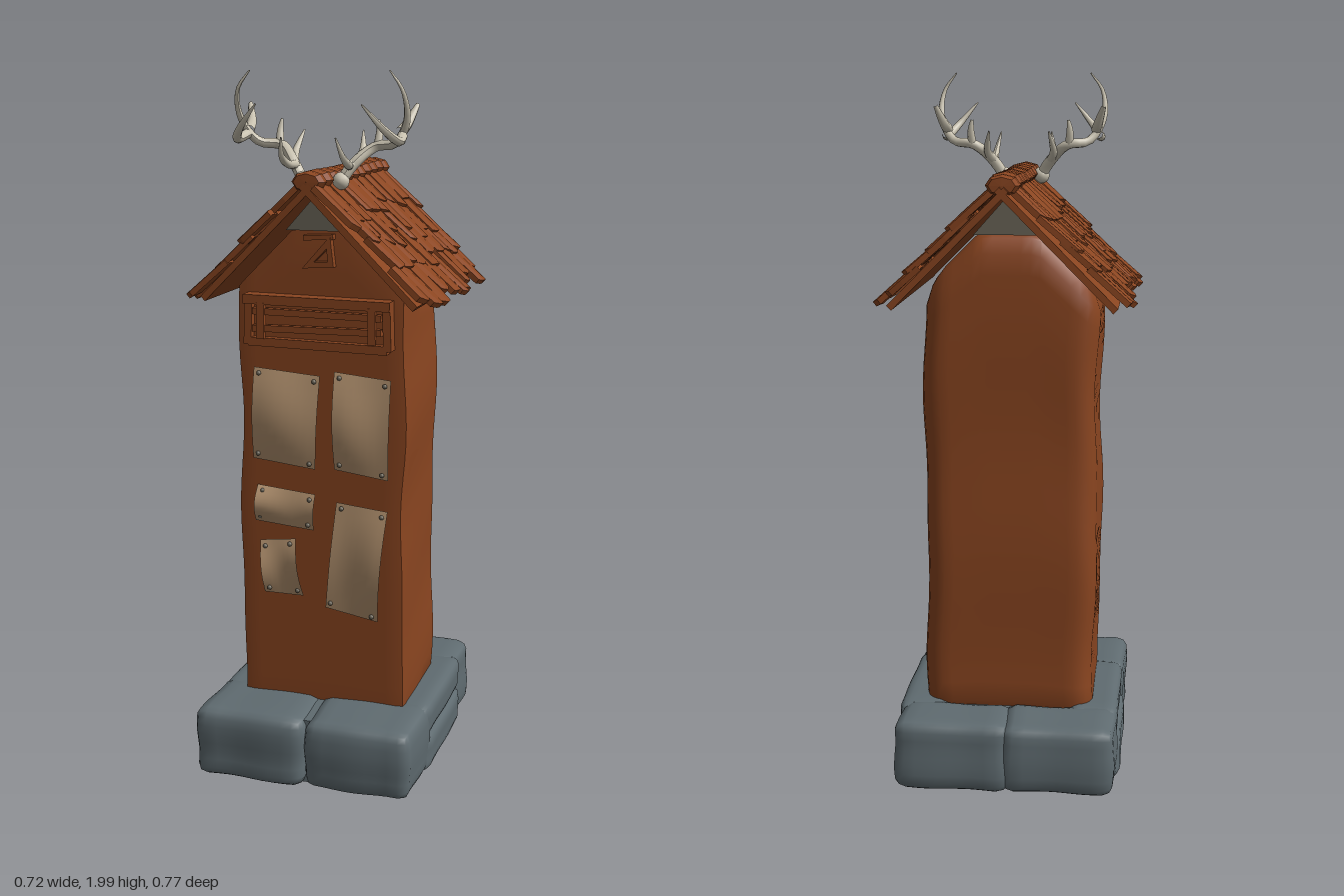
import * as THREE from 'three';
import { mergeVertices, toCreasedNormals } from 'three/addons/utils/BufferGeometryUtils.js';

const mat = (name, color, extra = {}) => {
  const m = new THREE.MeshStandardMaterial({ color, ...extra });
  m.name = name;
  return m;
};

export function createModel() {
  const wood = mat('wood', 0x8a4520);
  const shingleWood = mat('shingle wood', 0x8a4520, { flatShading: true });
  const stoneMat = mat('stone', 0x5f6b70);
  const paper = mat('paper', 0xb3926f, { side: THREE.DoubleSide });
  const bone = mat('bone', 0xc9c2b0);
  const iron = mat('iron', 0x6b6558);

  const root = new THREE.Group();
  let seed = 7;
  const rnd = (a = 0, b = 1) => {
    seed = (seed * 16807) % 2147483647;
    return a + (b - a) * (seed / 2147483647);
  };
  const add = (parent, name, geo, m, x = 0, y = 0, z = 0) => {
    const mesh = new THREE.Mesh(geo, m);
    mesh.name = name;
    mesh.position.set(x, y, z);
    parent.add(mesh);
    return mesh;
  };
  const box = (parent, name, w, h, d, x, y, z, rz = 0, m = wood) => {
    const b = add(parent, name, new THREE.BoxGeometry(w, h, d), m, x, y, z);
    b.rotation.z = rz;
    return b;
  };

  // Box with rounded edges whose vertices are then moved by a rule
  const softBox = (w, h, d, seg, radius, rule, crease) => {
    let g = new THREE.BoxGeometry(w, h, d, ...seg);
    g.deleteAttribute('uv');
    g.deleteAttribute('normal');
    g = mergeVertices(g, 1e-5);
    const p = g.attributes.position, v = new THREE.Vector3(), c = new THREE.Vector3();
    for (let i = 0; i < p.count; i++) {
      v.fromBufferAttribute(p, i);
      const r = radius(v);
      c.set(
        THREE.MathUtils.clamp(v.x, r - w / 2, w / 2 - r),
        THREE.MathUtils.clamp(v.y, r - h / 2, h / 2 - r),
        THREE.MathUtils.clamp(v.z, r - d / 2, d / 2 - r));
      v.sub(c);
      if (v.lengthSq() > 0) v.setLength(Math.min(r, v.length()));
      v.add(c);
      rule(v);
      p.setXYZ(i, v.x, v.y, v.z);
    }
    g.computeVertexNormals();
    return crease ? toCreasedNormals(g, crease) : g;
  };

  // Stone footing: a core and worn blocks around it
  const footing = new THREE.Group();
  footing.name = 'stoneFooting';
  root.add(footing);
  box(footing, 'footingCore', 0.56, 0.19, 0.66, 0, 0.1, 0, 0, stoneMat);
  const stones = [
    [-0.158, 0.105, 0.25, 0.32, 0.205, 0.25], [0.158, 0.105, 0.25, 0.315, 0.205, 0.25],
    [-0.155, 0.105, -0.285, 0.32, 0.2, 0.19], [0.15, 0.105, -0.285, 0.32, 0.2, 0.19],
    [-0.25, 0.055, -0.03, 0.15, 0.11, 0.42], [0.25, 0.055, -0.03, 0.15, 0.11, 0.42],
    [-0.245, 0.155, -0.03, 0.14, 0.105, 0.42], [0.245, 0.155, -0.03, 0.15, 0.105, 0.42],
  ];
  stones.forEach(([x, y, z, w, h, d], k) => {
    const g = softBox(w, h, d, [10, 8, 10], () => 0.03, (v) => {
      const n = Math.sin(v.x * 27 + k * 2) + Math.sin(v.z * 24 + k * 3) + Math.sin(v.y * 38 + k);
      v.x *= 1 + 0.015 * n;
      v.z *= 1 + 0.022 * n;
      v.y = Math.max(v.y * (1 + 0.015 * n), -y);
    });
    add(footing, 'footingStone', g, stoneMat, x, y, z);
  });

  // Tower with a gabled top, sharper front corners and rounded back corners
  const towerGeo = softBox(0.485, 1.42, 0.385, [18, 24, 14], (v) => (v.z > 0 ? 0.012 : 0.06), (v) => {
    const t = (v.y + 0.71) / 1.42;
    v.x += 0.005 * Math.sin(t * 11) + 0.003 * Math.sin(t * 19 + v.z * 6);
    if (v.z < 0) v.z += 0.004 * Math.sin(t * 13);
    v.y = 0.15 + t * (Math.min(1.57, 1.65 - Math.abs(v.x)) - 0.15);
  }, 0.7);
  add(root, 'tower', towerGeo, wood, 0, 0, -0.01);

  // Ridge beam under the roof
  const beam = new THREE.Shape([[-0.085, 1.57], [0.085, 1.57], [0, 1.665]].map(([x, y]) => new THREE.Vector2(x, y)));
  add(root, 'ridgeBeam', new THREE.ExtrudeGeometry(beam, { depth: 0.5, bevelEnabled: false }), iron, 0, 0, -0.28);

  // Roof slopes with overlapping ragged shingles; local +x runs down the slope
  const roof = new THREE.Group();
  roof.name = 'roof';
  root.add(roof);
  const shingleGeo = (len, w) => {
    const g = new THREE.BoxGeometry(len, 0.016, w, 2, 1, 3);
    const p = g.attributes.position;
    const cut = [rnd(0.01, 0.025), rnd(0, 0.008), rnd(0, 0.008), rnd(0.01, 0.025)];
    const pinch = rnd(0.82, 1);
    for (let i = 0; i < p.count; i++) {
      const col = Math.round((p.getZ(i) / w + 0.5) * 3);
      if (p.getX(i) > len * 0.4) {
        p.setX(i, p.getX(i) - cut[col]);
        p.setZ(i, p.getZ(i) * pinch);
      }
      if (col === 1 || col === 2) p.setY(i, p.getY(i) + 0.004);
    }
    return g;
  };
  for (const s of [1, -1]) {
    const side = new THREE.Group();
    side.name = s > 0 ? 'leftSlope' : 'rightSlope';
    side.position.set(0, 1.7, -0.035);
    side.rotation.y = s > 0 ? 0 : Math.PI;
    roof.add(side);
    const slope = new THREE.Group();
    slope.rotation.z = -Math.PI / 4;
    side.add(slope);
    box(slope, 'roofPanel', 0.44, 0.018, 0.67, 0.215, -0.012, 0);
    for (let row = 0; row < 4; row++) {
      let z = -0.315;
      while (z < 0.3) {
        const w = Math.min(rnd(0.035, 0.08), 0.335 - z);
        const len = rnd(0.12, 0.17);
        const m = add(slope, 'shingle', shingleGeo(len, w), shingleWood,
          0.02 + row * 0.098 + len / 2 + rnd(-0.012, 0.008), 0.011 + rnd(0, 0.006), s * (z + w / 2 + 0.01));
        m.rotation.set(rnd(-0.05, 0.05), rnd(-0.05, 0.05), rnd(0.03, 0.08));
        z += w * 0.97;
      }
    }
  }

  // Barrel-shaped ridge caps
  for (let i = 0; i < 11; i++) {
    const pts = [[0.001, -0.034], [0.036, -0.033], [0.046, -0.012], [0.046, 0.012], [0.036, 0.033], [0.001, 0.034]];
    const cap = add(roof, 'ridgeCap', new THREE.LatheGeometry(pts.map(([r, y]) => new THREE.Vector2(r, y)), 8),
      shingleWood, 0, 1.705 + rnd(-0.003, 0.003), -0.325 + i * 0.0595);
    cap.rotation.set(Math.PI / 2, 0, 0);
    cap.scale.set(1, rnd(0.85, 1.05), 0.62);
  }

  // Slatted notice rack across the front
  const rack = new THREE.Group();
  rack.name = 'noticeRack';
  root.add(rack);
  box(rack, 'rackBack', 0.4, 0.13, 0.02, 0, 1.31, 0.187);
  box(rack, 'rackTop', 0.42, 0.026, 0.05, 0, 1.375, 0.205, -0.01);
  box(rack, 'rackBottom', 0.4, 0.024, 0.04, 0, 1.255, 0.2, -0.015);
  box(rack, 'rackRail', 0.37, 0.018, 0.02, 0, 1.342, 0.215, -0.01);
  box(rack, 'rackRail', 0.37, 0.018, 0.02, 0, 1.298, 0.215, 0.012);
  for (const s of [1, -1]) {
    box(rack, 'rackEnd', 0.022, 0.13, 0.04, s * 0.2, 1.315, 0.2, s * 0.03);
    box(rack, 'rackPost', 0.022, 0.1, 0.018, s * 0.16, 1.318, 0.222, s * 0.02);
  }

  // Small triangular frame in the gable
  const tri = new THREE.Shape([[-0.045, 1.465], [0.045, 1.47], [0.035, 1.555]].map(([x, y]) => new THREE.Vector2(x, y)));
  tri.holes.push(new THREE.Path([[-0.012, 1.483], [0.025, 1.52], [0.028, 1.485]].map(([x, y]) => new THREE.Vector2(x, y))));
  add(root, 'gableFrame', new THREE.ExtrudeGeometry(tri, { depth: 0.025, bevelEnabled: false }), wood, 0, 0, 0.18);
  box(root, 'gablePeg', 0.085, 0.014, 0.025, 0, 1.55, 0.19, 0.05);

  // Nailed paper notices: corners run top left, top right, bottom right, bottom left
  const notices = [
    [[-0.195, 1.18], [0, 1.165], [-0.015, 0.895], [-0.2, 0.915]],
    [[0.042, 1.18], [0.205, 1.165], [0.198, 0.88], [0.042, 0.9]],
    [[-0.188, 0.838], [-0.015, 0.822], [-0.02, 0.715], [-0.195, 0.73]],
    [[-0.182, 0.672], [-0.075, 0.685], [-0.052, 0.515], [-0.17, 0.515]],
    [[0.048, 0.805], [0.198, 0.79], [0.17, 0.46], [0.015, 0.487]],
  ];
  notices.forEach((q, k) => {
    const g = new THREE.PlaneGeometry(1, 1, 8, 10);
    const p = g.attributes.position;
    for (let i = 0; i < p.count; i++) {
      const u = p.getX(i) + 0.5, t = 0.5 - p.getY(i);
      const at = (n) => (q[0][n] * (1 - u) + q[1][n] * u) * (1 - t) + (q[3][n] * (1 - u) + q[2][n] * u) * t;
      p.setXYZ(i, at(0), at(1), 0.19 + 0.026 * Math.sin(Math.PI * t) * (0.65 + 0.35 * Math.sin(u * 4 + k)));
    }
    g.computeVertexNormals();
    add(root, 'paperNotice', g, paper);
    const cx = q.reduce((a, c) => a + c[0] / 4, 0), cy = q.reduce((a, c) => a + c[1] / 4, 0);
    q.forEach(([x, y]) => add(root, 'nail', new THREE.SphereGeometry(0.007, 8, 6), iron,
      x + Math.sign(cx - x) * 0.016, y + Math.sign(cy - y) * 0.016, 0.196));
  });

  // Antlers: tapered tubes along curved paths
  const horn = (parent, name, pts, r0, r1, s) => {
    const curve = new THREE.CatmullRomCurve3(pts.map(([x, y, z]) => new THREE.Vector3(x * s, y, z)));
    const n = 24, sides = 8;
    const g = new THREE.TubeGeometry(curve, n, 1, sides);
    const p = g.attributes.position, v = new THREE.Vector3();
    for (let i = 0; i < p.count; i++) {
      const t = Math.floor(i / (sides + 1)) / n, c = curve.getPointAt(t);
      v.fromBufferAttribute(p, i).sub(c).multiplyScalar(r0 + (r1 - r0) * t * t).add(c);
      p.setXYZ(i, v.x, v.y, v.z);
    }
    g.computeVertexNormals();
    add(parent, name, g, bone);
  };
  for (const s of [1, -1]) {
    const antler = new THREE.Group();
    antler.name = s > 0 ? 'leftAntler' : 'rightAntler';
    root.add(antler);
    horn(antler, 'mainBeam', [[0.045, 1.685, 0.17], [0.085, 1.745, 0.15], [0.135, 1.79, 0.11], [0.195, 1.8, 0.13],
      [0.235, 1.865, 0.16], [0.23, 1.94, 0.19], [0.195, 1.99, 0.19]], 0.016, 0.002, s);
    horn(antler, 'frontTine', [[0.22, 1.82, 0.15], [0.225, 1.81, 0.21], [0.2, 1.84, 0.255], [0.145, 1.905, 0.28]], 0.014, 0.002, s);
    horn(antler, 'backTine', [[0.215, 1.83, 0.15], [0.222, 1.85, 0.11], [0.24, 1.9, 0.07]], 0.015, 0.006, s);
    horn(antler, 'browTine', [[0.075, 1.74, 0.16], [0.085, 1.745, 0.2], [0.085, 1.77, 0.25], [0.075, 1.82, 0.28]], 0.012, 0.002, s);
    horn(antler, 'innerTine', [[0.08, 1.74, 0.16], [0.095, 1.77, 0.11], [0.085, 1.83, 0.06]], 0.013, 0.002, s);
    horn(antler, 'smallTine', [[0.14, 1.79, 0.11], [0.142, 1.83, 0.1], [0.138, 1.86, 0.095]], 0.012, 0.004, s);
    add(antler, 'burr', new THREE.SphereGeometry(0.024, 10, 8), bone, s * 0.055, 1.7, 0.168);
  }
  return root;
}
